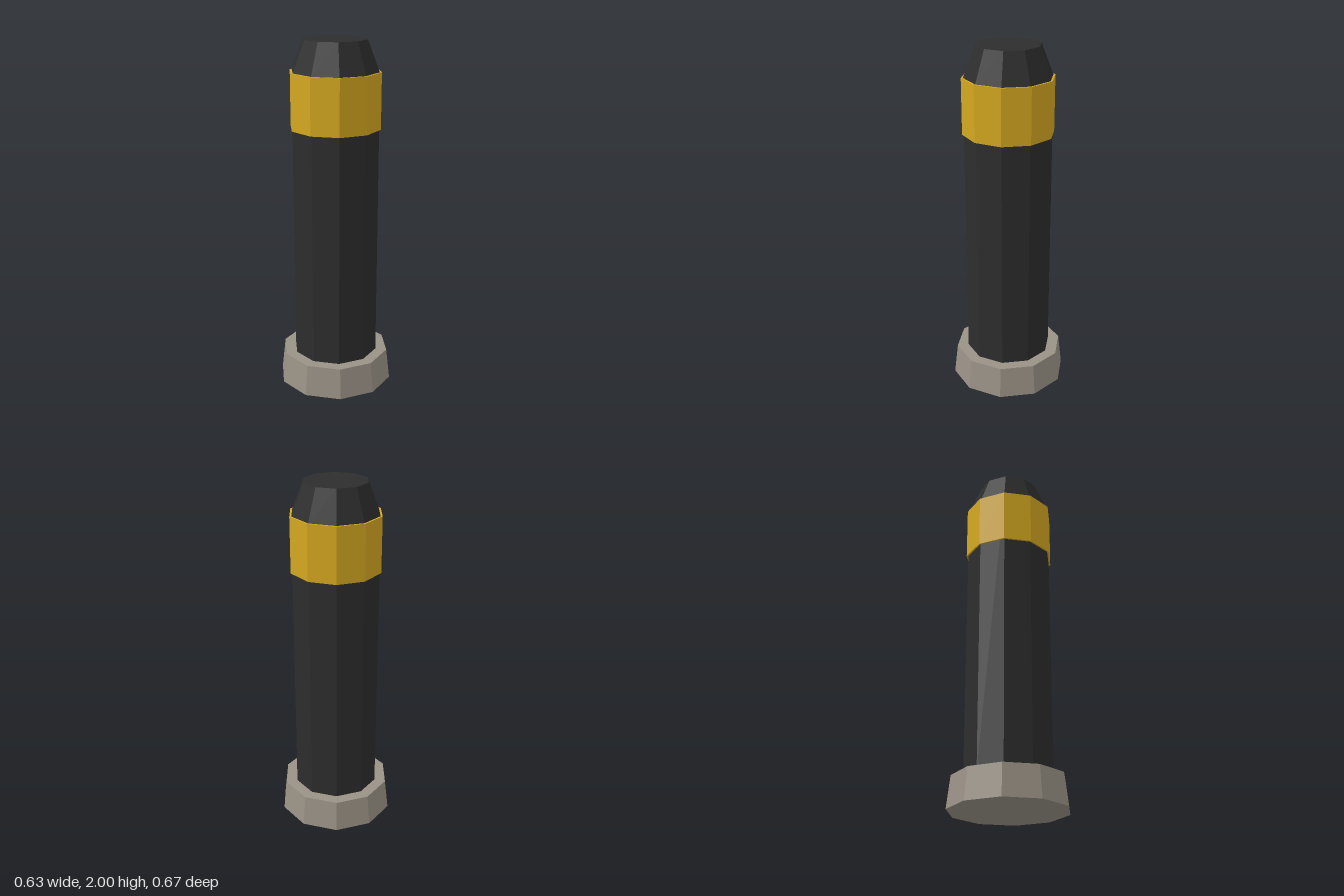
import * as THREE from 'three';

const SIDES = 10;

function flat(name, color) {
  const m = new THREE.MeshStandardMaterial({ color, flatShading: true });
  m.name = name;
  return m;
}

export function createModel() {
  const group = new THREE.Group();
  group.name = 'bollard';
  const black = flat('black', 0x2d2d2d);
  const yellow = flat('yellow', 0xd4a820);
  const stone = flat('stone', 0x9a9286);

  // Ten-sided section between two heights, with a corner facing the front
  function section(name, material, rBottom, rTop, y0, y1) {
    const geometry = new THREE.CylinderGeometry(rTop, rBottom, y1 - y0, SIDES);
    geometry.translate(0, (y0 + y1) / 2, 0);
    const mesh = new THREE.Mesh(geometry, material);
    mesh.name = name;
    group.add(mesh);
  }

  section('base', stone, 0.333, 0.312, 0, 0.18);
  section('post', black, 0.246, 0.246, 0.17, 1.82);
  section('band', yellow, 0.256, 0.256, 1.515, 1.828);
  section('cap', black, 0.246, 0.178, 1.825, 2);

  return group;
}
